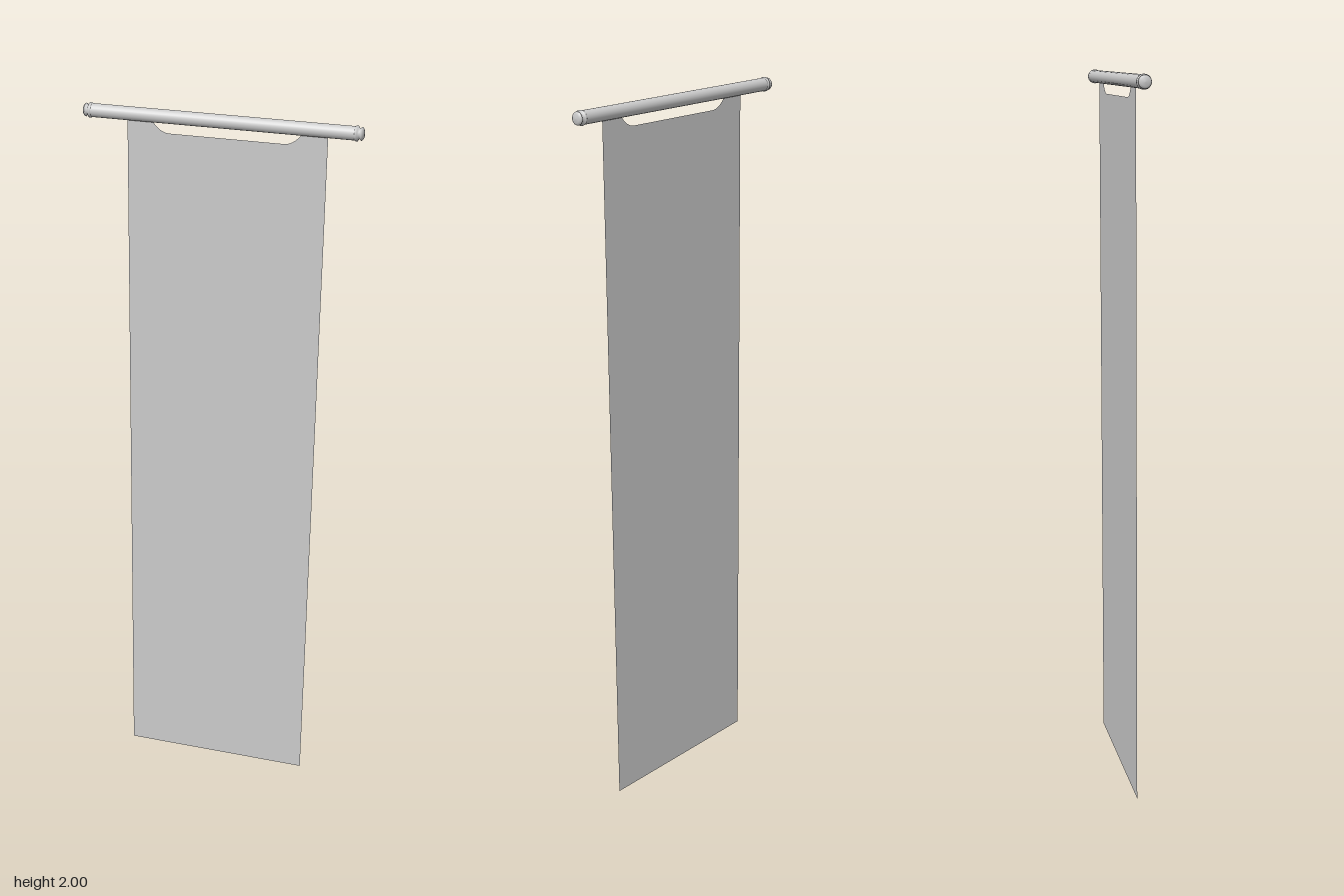
import * as THREE from 'three';

export function createModel() {
  const model = new THREE.Group();
  const material = new THREE.MeshStandardMaterial({ color: 0xcccccc });
  const clothMaterial = new THREE.MeshStandardMaterial({ color: 0xcccccc, side: THREE.DoubleSide });

  // Everything hangs from the rod's centre, slightly askew
  const banner = new THREE.Group();
  banner.name = 'banner';
  banner.position.set(0, 1.977, -0.001);
  banner.rotation.set(-0.0015, 0.006, -0.0155);
  model.add(banner);

  // Round rod
  const rod = new THREE.Mesh(new THREE.CylinderGeometry(0.0178, 0.0178, 0.712, 24, 1, true), material);
  rod.name = 'rod';
  rod.rotation.z = -Math.PI / 2;
  banner.add(rod);

  // Finials: collar, narrow neck and bevelled knob at each end
  const profile = [
    [0.0178, 0.350], [0.0195, 0.352], [0.0195, 0.357], [0.0125, 0.361],
    [0.0175, 0.366], [0.0165, 0.369], [0.0110, 0.3725], [0, 0.3735],
  ].map(([r, h]) => new THREE.Vector2(r, h));
  for (const side of [-1, 1]) {
    const finial = new THREE.Mesh(new THREE.LatheGeometry(profile, 24), material);
    finial.name = side > 0 ? 'leftFinial' : 'rightFinial';
    finial.rotation.z = -side * Math.PI / 2;
    banner.add(finial);
  }

  // Thin cloth with a shallow notch between its two hanging tabs
  const half = 0.267, bottom = -1.973;
  const shape = new THREE.Shape();
  shape.moveTo(-half, bottom);
  shape.lineTo(half, bottom);
  shape.lineTo(half, 0);
  shape.lineTo(0.197, 0);
  shape.lineTo(0.195, -0.02);
  shape.quadraticCurveTo(0.178, -0.042, 0.155, -0.044);
  shape.lineTo(-0.155, -0.044);
  shape.quadraticCurveTo(-0.178, -0.042, -0.195, -0.02);
  shape.lineTo(-0.197, 0);
  shape.lineTo(-half, 0);
  shape.closePath();
  const cloth = new THREE.Mesh(new THREE.ShapeGeometry(shape, 6), clothMaterial);
  cloth.name = 'cloth';
  cloth.position.x = 0.0136;
  banner.add(cloth);

  return model;
}
